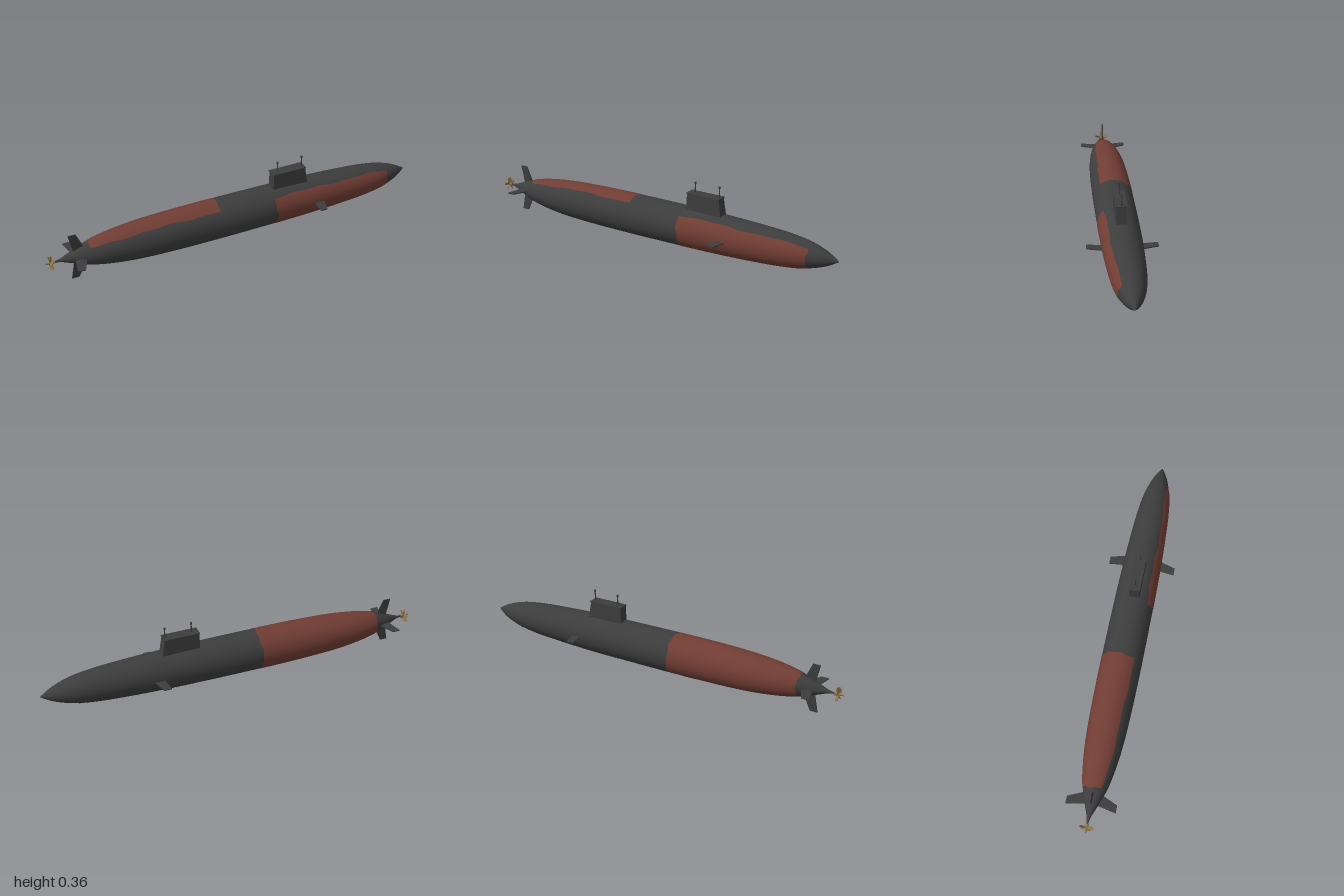
import * as THREE from 'three';

const AXIS = 0.122;

// Hull profile: [x, radius] from stern to bow
const PROFILE = [
  [-0.95, 0.004], [-0.92, 0.01], [-0.88, 0.025], [-0.83, 0.043], [-0.77, 0.062], [-0.68, 0.079],
  [-0.55, 0.093], [-0.38, 0.1], [-0.15, 0.103], [0.15, 0.102], [0.4, 0.098], [0.58, 0.091],
  [0.72, 0.082], [0.82, 0.069], [0.89, 0.051], [0.94, 0.032], [0.98, 0.01], [0.995, 0.0001],
];
const profilePoints = new THREE.SplineCurve(PROFILE.map(([x, r]) => new THREE.Vector2(r, x))).getPoints(80);

function radiusAt(x) {
  const i = Math.max(1, profilePoints.findIndex(p => p.y >= x));
  const a = profilePoints[i - 1], b = profilePoints[i];
  return a.x + (b.x - a.x) * (x - a.y) / (b.y - a.y);
}

// Painted patch following the hull, with slightly ragged edges
function patchGeometry(x0, x1, a0, a1) {
  const NU = 64, NV = 56, positions = [], index = [];
  const wave = (t, s) => Math.sin(t * 11 + s) * 0.5 + Math.sin(t * 27 + s * 2) * 0.3;
  for (let i = 0; i <= NU; i++) {
    for (let j = 0; j <= NV; j++) {
      const u = i / NU, v = j / NV;
      const x = THREE.MathUtils.lerp(x0 + 0.007 * wave(v, 1), x1 + 0.007 * wave(v, 4), u);
      const a = THREE.MathUtils.lerp(a0 + 0.07 * wave(u, 2), a1 + 0.07 * wave(u, 5), v);
      const r = radiusAt(x) + 0.0012;
      positions.push(x, r * Math.sin(a), r * Math.cos(a));
      if (i < NU && j < NV) {
        const p = i * (NV + 1) + j, q = p + NV + 1;
        index.push(p, q, q + 1, p, q + 1, p + 1);
      }
    }
  }
  const g = new THREE.BufferGeometry();
  g.setAttribute('position', new THREE.Float32BufferAttribute(positions, 3));
  g.setIndex(index);
  g.computeVertexNormals();
  return g;
}

// Flat plate from [x, y] corners, centred on z = 0
function plate(corners, depth) {
  const shape = new THREE.Shape(corners.map(([x, y]) => new THREE.Vector2(x, y)));
  return new THREE.ExtrudeGeometry(shape, { depth, bevelEnabled: false }).translate(0, 0, -depth / 2);
}

export function createModel() {
  const hullGrey = new THREE.MeshStandardMaterial({ color: 0x3d3d3d });
  hullGrey.name = 'hullGrey';
  const rustRed = new THREE.MeshStandardMaterial({ color: 0x713d34 });
  rustRed.name = 'rustRed';
  const brass = new THREE.MeshStandardMaterial({ color: 0x8a7448 });
  brass.name = 'brass';

  const model = new THREE.Group();
  model.name = 'submarine';
  const add = (name, geometry, material, parent = model) => {
    const mesh = new THREE.Mesh(geometry, material);
    mesh.name = name;
    parent.add(mesh);
    return mesh;
  };

  // Hull and its two painted areas, split along one slanted plane
  const body = new THREE.Group();
  body.name = 'body';
  body.position.y = AXIS;
  model.add(body);
  add('hull', new THREE.LatheGeometry(profilePoints, 64).rotateZ(-Math.PI / 2), hullGrey, body);
  const rad = THREE.MathUtils.degToRad;
  add('forwardPatch', patchGeometry(0.18, 0.855, rad(-130), rad(49)), rustRed, body);
  add('aftPatch', patchGeometry(-0.785, -0.115, rad(52), rad(230)), rustRed, body);

  // Four stern fins
  const sternFin = plate([[-0.79, 0.01], [-0.84, 0.123], [-0.878, 0.123], [-0.855, 0.01]], 0.005);
  for (let i = 0; i < 4; i++) {
    add('sternFin', sternFin, hullGrey, body).rotation.x = i * Math.PI / 2;
  }

  // Bow planes
  const bowPlane = plate([[0.458, 0.07], [0.43, 0.17], [0.392, 0.17], [0.402, 0.07]], 0.005);
  for (const side of [1, -1]) {
    add('bowPlane', bowPlane, hullGrey, body).rotation.x = side * Math.PI / 2;
  }

  // Sail: box narrowing upward, with a sloping front edge
  const sailGeometry = new THREE.BoxGeometry(0.2, 0.125, 0.056).translate(0.292, 0.2425, 0);
  const p = sailGeometry.attributes.position;
  for (let i = 0; i < p.count; i++) {
    if (p.getY(i) > 0.25) {
      p.setZ(i, p.getZ(i) * 0.88);
      p.setX(i, p.getX(i) > 0.3 ? 0.372 : 0.195);
    }
  }
  sailGeometry.computeVertexNormals();
  add('sail', sailGeometry, hullGrey);
  add('sailCap', new THREE.BoxGeometry(0.184, 0.004, 0.057).translate(0.284, 0.304, 0), hullGrey);

  // Masts
  for (const x of [0.227, 0.363]) {
    add('mast', new THREE.CylinderGeometry(0.0025, 0.003, 0.055, 12).translate(x, 0.328, 0), hullGrey);
    add('mastHead', new THREE.CylinderGeometry(0.005, 0.005, 0.01, 12).translate(x, 0.356, 0), hullGrey);
  }

  // Propeller: shaft, hub and pitched blades
  const propeller = new THREE.Group();
  propeller.name = 'propeller';
  propeller.position.set(-0.972, AXIS, 0);
  model.add(propeller);
  add('shaft', new THREE.CylinderGeometry(0.005, 0.005, 0.05, 16).rotateZ(Math.PI / 2).translate(0.03, 0, 0), hullGrey, propeller);
  add('hub', new THREE.CylinderGeometry(0.008, 0.004, 0.045, 16).rotateZ(-Math.PI / 2).translate(-0.003, 0, 0), brass, propeller);
  const blade = plate([[-0.005, 0.004], [0.005, 0.004], [0.011, 0.024], [0.007, 0.035], [-0.007, 0.035], [-0.011, 0.024]], 0.003)
    .rotateY(Math.PI / 4);
  for (let i = 0; i < 5; i++) {
    add('propellerBlade', blade, brass, propeller).rotation.x = i * Math.PI * 2 / 5;
  }

  return model;
}
